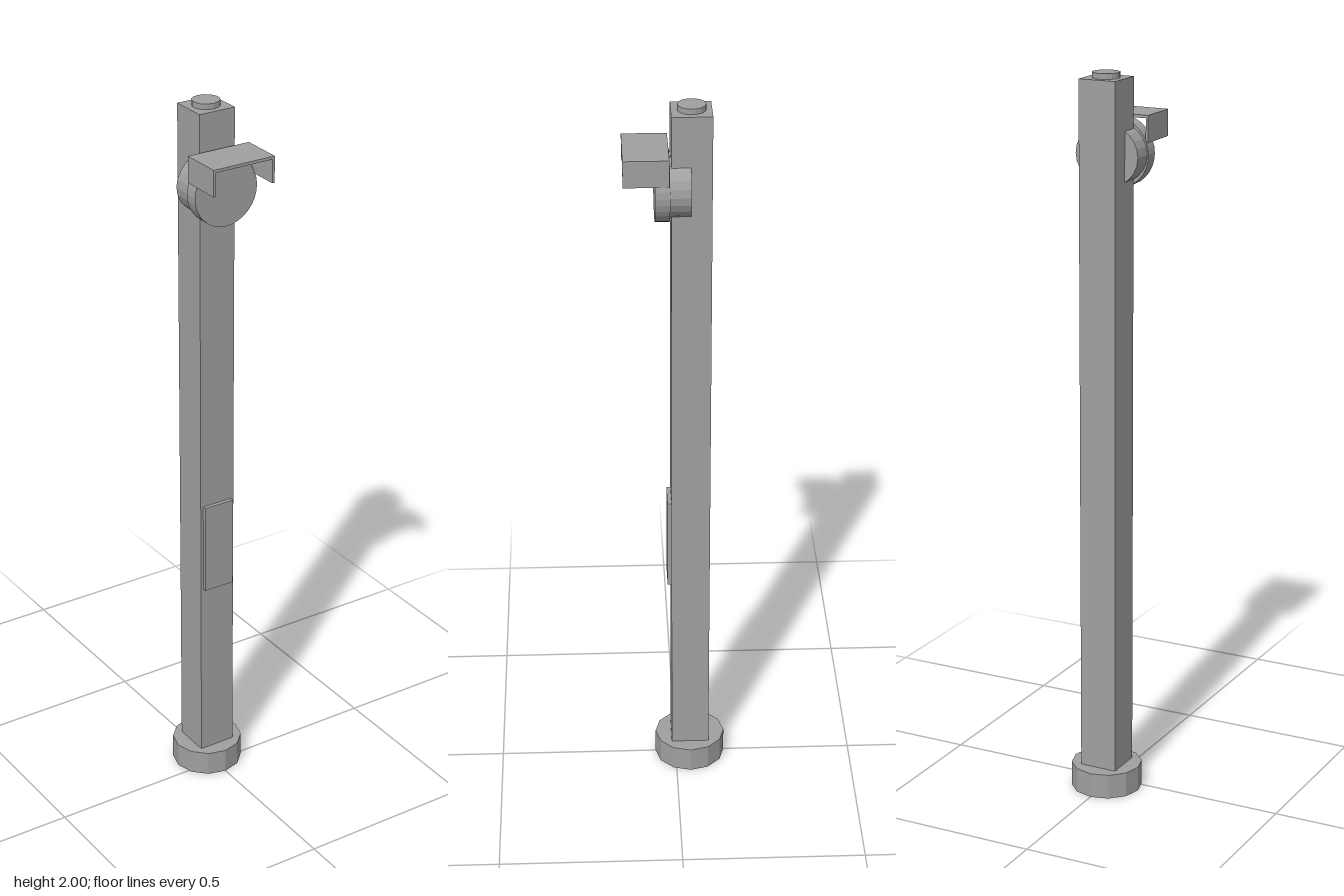
import * as THREE from 'three';

export function createModel() {
  const model = new THREE.Group();
  const grey = new THREE.MeshStandardMaterial({ color: 0xa0a0a0 });
  grey.name = 'grey metal';
  const postZ = -0.04;

  function add(name, geometry, x, y, z) {
    const mesh = new THREE.Mesh(geometry, grey);
    mesh.name = name;
    mesh.position.set(x, y, z);
    model.add(mesh);
    return mesh;
  }
  // box given by its lower and upper corners
  function box(name, [x0, y0, z0], [x1, y1, z1]) {
    return add(name, new THREE.BoxGeometry(x1 - x0, y1 - y0, z1 - z0),
      (x0 + x1) / 2, (y0 + y1) / 2, (z0 + z1) / 2);
  }
  // faceted upright or forward-facing drum
  function drum(name, radius, depth, sides, y, z, forward = false) {
    let geometry = new THREE.CylinderGeometry(radius, radius, depth, sides);
    if (forward) geometry.rotateX(Math.PI / 2);
    geometry = geometry.toNonIndexed();
    geometry.computeVertexNormals();
    return add(name, geometry, 0, y, z);
  }

  // foot, square post and cap
  drum('base', 0.098, 0.07, 12, 0.035, postZ);
  box('post', [-0.053, 0.01, -0.092], [0.053, 1.985, 0.013]);
  drum('cap', 0.037, 0.02, 14, 1.99, postZ);

  // raised access panel
  box('accessPanel', [-0.045, 0.6, 0.012], [0.045, 0.86, 0.024]);

  // lamp housing with a wider front disc
  const housing = drum('lampHousing', 1, 0.06, 24, 1.782, -0.008, true);
  housing.geometry.scale(0.091, 0.083, 1);
  drum('lampFace', 0.094, 0.038, 32, 1.781, 0.036, true);

  // three-sided visor, open at the front and below
  box('visorTop', [-0.092, 1.877, 0.019], [0.092, 1.885, 0.137]);
  for (const side of [-1, 1]) {
    add('visorSide', new THREE.BoxGeometry(0.007, 0.07, 0.118),
      side * 0.0885, 1.848, 0.078);
  }
  return model;
}
